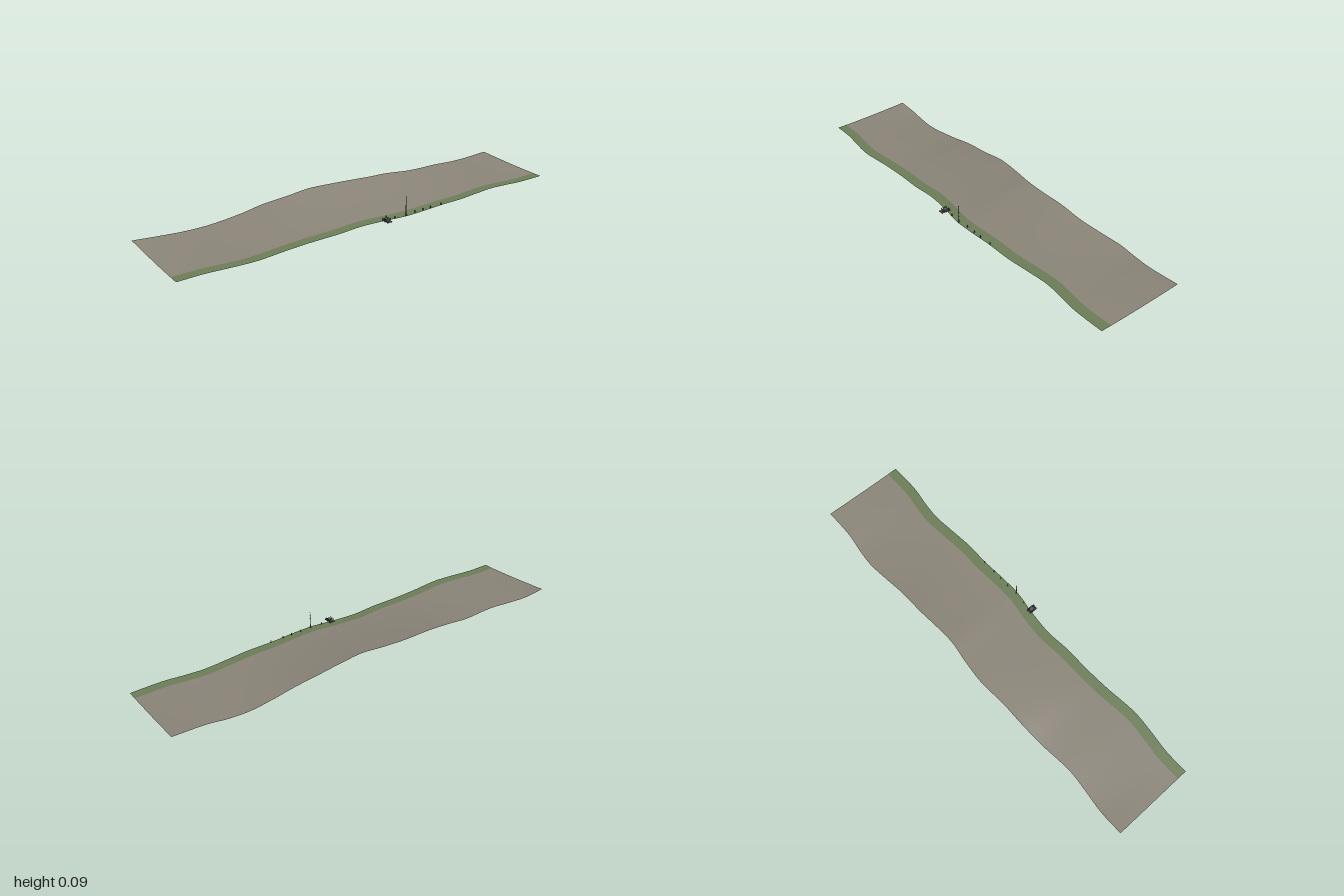
import * as THREE from 'three';

const mat = (name, color) => {
  const m = new THREE.MeshStandardMaterial({ color, side: THREE.DoubleSide });
  m.name = name;
  return m;
};

export function createModel() {
  const group = new THREE.Group();
  const earth = mat('earth', 0x8a8478);
  const grass = mat('grass', 0x6c7d57);
  const wood = mat('darkWood', 0x4c443a);
  const steel = mat('steel', 0x5a6066);

  // Shore guide: x, height of the rear ridge, sideways drift of the strip in z
  const guide = new THREE.CatmullRomCurve3([
    [-1, 0.033, -0.01], [-0.88, 0.023, -0.009], [-0.78, 0.021, 0.003], [-0.67, 0.024, 0.012],
    [-0.5, 0.032, -0.003], [-0.38, 0.048, -0.009], [-0.25, 0.057, -0.01], [-0.13, 0.064, -0.019],
    [0, 0.064, -0.008], [0.1, 0.064, 0.006], [0.2, 0.057, 0.005], [0.32, 0.049, -0.002],
    [0.45, 0.035, -0.003], [0.56, 0.026, -0.013], [0.67, 0.021, -0.021], [0.76, 0.019, -0.013],
    [0.85, 0.024, -0.001], [1, 0.031, 0],
  ].map(p => new THREE.Vector3(...p)));
  const DEPTH = 0.4, BASE = 0.003;
  const rows = guide.getPoints(160);

  // Strip of ground between two fractions of the depth (0 = front edge)
  function ground(name, t0, t1, steps, material) {
    const pos = [], index = [];
    rows.forEach((p, i) => {
      for (let j = 0; j <= steps; j++) {
        const t = t0 + (t1 - t0) * j / steps;
        pos.push(p.x, BASE + (p.y - BASE) * Math.pow(t, 1.35), 0.2 + p.z - t * DEPTH);
        if (i < rows.length - 1 && j < steps) {
          const a = i * (steps + 1) + j, b = a + steps + 1;
          index.push(a, b, a + 1, b, b + 1, a + 1);
        }
      }
    });
    const g = new THREE.BufferGeometry();
    g.setAttribute('position', new THREE.Float32BufferAttribute(pos, 3));
    g.setIndex(index);
    g.computeVertexNormals();
    const mesh = new THREE.Mesh(g, material);
    mesh.name = name;
    group.add(mesh);
  }
  ground('grassBank', 0, 0.12, 4, grass);
  ground('hillside', 0.12, 1, 24, earth);

  function box(parent, name, size, at, material) {
    const mesh = new THREE.Mesh(new THREE.BoxGeometry(...size), material);
    mesh.position.set(...at);
    mesh.name = name;
    parent.add(mesh);
  }

  // Small jetty with planks, piles, rails and a shelter
  const jetty = new THREE.Group();
  jetty.name = 'jetty';
  for (let i = 0; i < 8; i++)
    box(jetty, 'plank', [0.025, 0.002, 0.005], [0, 0.005, 0.1805 + i * 0.0055], wood);
  for (const s of [-1, 1]) {
    box(jetty, 'beam', [0.002, 0.002, 0.043], [s * 0.009, 0.0035, 0.2], wood);
    for (const z of [0.182, 0.2, 0.218])
      box(jetty, 'pile', [0.002, 0.005, 0.002], [s * 0.011, 0.0025, z], wood);
    for (const z of [0.184, 0.197, 0.21])
      box(jetty, 'railPost', [0.0015, 0.012, 0.0015], [s * 0.011, 0.011, z], wood);
    box(jetty, 'rail', [0.0015, 0.0015, 0.029], [s * 0.011, 0.016, 0.197], wood);
  }
  box(jetty, 'shelter', [0.015, 0.009, 0.02], [0, 0.0105, 0.197], steel);
  box(jetty, 'signPost', [0.002, 0.017, 0.002], [0.008, 0.0135, 0.183], wood);
  group.add(jetty);

  // Tall slim mast with crossarms
  const mast = new THREE.Group();
  mast.name = 'mast';
  const pole = new THREE.Mesh(new THREE.CylinderGeometry(0.0008, 0.002, 0.092, 8), wood);
  pole.name = 'pole';
  pole.position.y = 0.049;
  mast.add(pole);
  box(mast, 'foot', [0.006, 0.006, 0.006], [0, 0.005, 0], steel);
  for (const y of [0.03, 0.05, 0.068, 0.082])
    box(mast, 'crossarm', [0.004, 0.001, 0.004], [0, y, 0], wood);
  mast.position.set(0.108, 0, 0.2);
  group.add(mast);

  // Short mooring posts along the bank
  for (const x of [0.05, 0.165, 0.215, 0.26, 0.325]) {
    const post = new THREE.Mesh(new THREE.CylinderGeometry(0.002, 0.0025, 0.011, 8), wood);
    post.name = 'mooringPost';
    post.position.set(x, 0.0075, 0.195);
    group.add(post);
  }
  return group;
}
